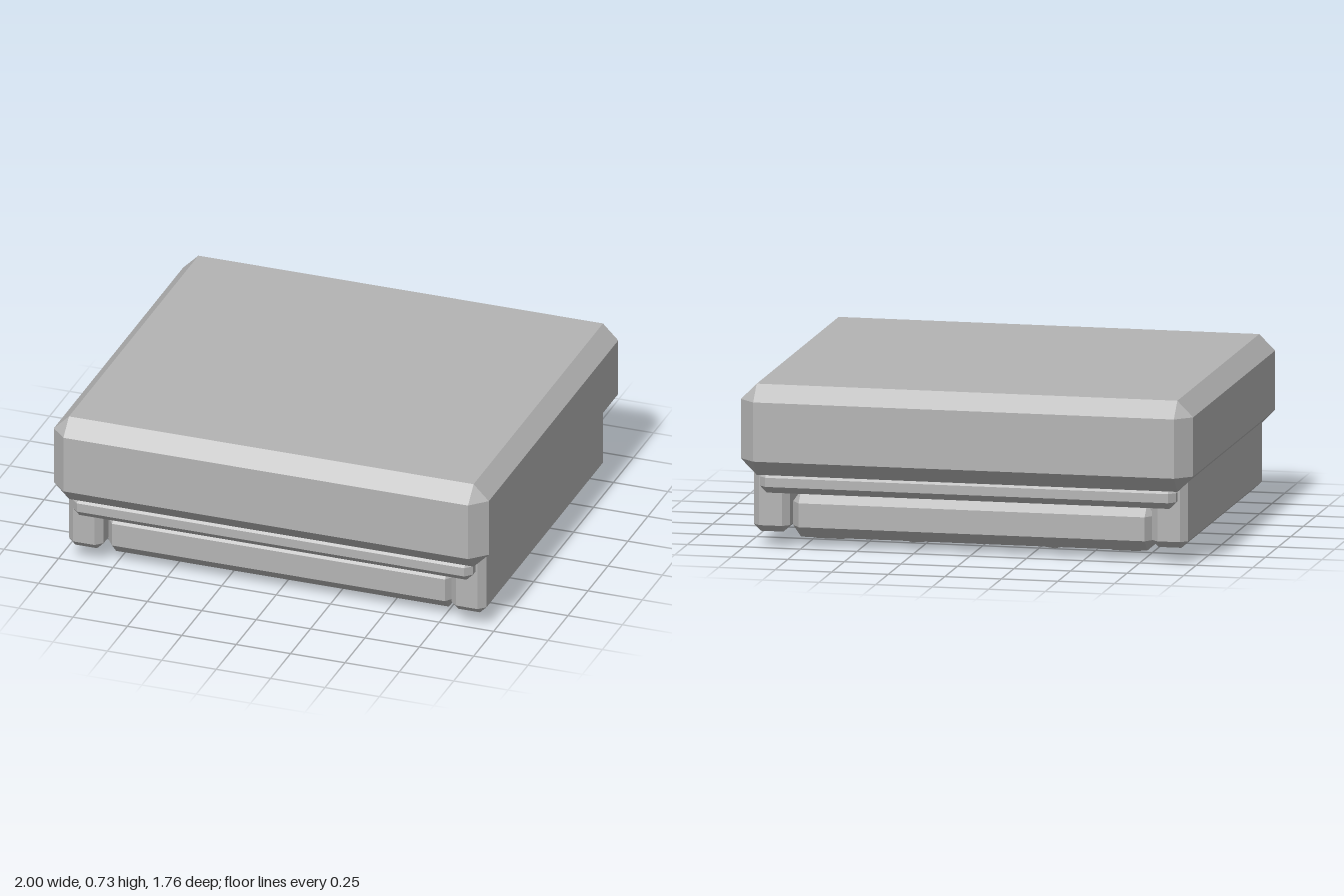
import * as THREE from 'three';
import { ConvexGeometry } from 'three/addons/geometries/ConvexGeometry.js';

const grey = new THREE.MeshStandardMaterial({ color: 0xb4b4b4 });
grey.name = 'plain grey';

// Box with every edge bevelled; c gives the bevel along x, y and z.
function bevelBox(w, h, d, c) {
  const [cx, cy, cz] = Array.isArray(c) ? c : [c, c, c];
  const X = w / 2, Y = h / 2, Z = d / 2, points = [];
  for (const i of [-1, 1]) for (const j of [-1, 1]) for (const k of [-1, 1]) {
    points.push(
      new THREE.Vector3(i * X, j * (Y - cy), k * (Z - cz)),
      new THREE.Vector3(i * (X - cx), j * Y, k * (Z - cz)),
      new THREE.Vector3(i * (X - cx), j * (Y - cy), k * Z));
  }
  return new ConvexGeometry(points);
}

export function createModel() {
  const model = new THREE.Group();
  model.name = 'floorTile';

  // Adds a bevelled box spanning y0 to y1
  const add = (name, w, d, y0, y1, c, x = 0, z = 0, turn = 0) => {
    const mesh = new THREE.Mesh(bevelBox(w, y1 - y0, d, c), grey);
    mesh.name = name;
    mesh.position.set(x, (y0 + y1) / 2, z);
    mesh.rotation.y = turn;
    model.add(mesh);
  };

  // Stacked body
  add('topSlab', 2, 1.76, 0.33, 0.73, 0.07);
  add('middlePlate', 1.84, 1.64, 0.25, 0.35, 0.03);
  add('lowerBlock', 1.6, 1.44, 0.04, 0.245, [0.035, 0.05, 0.05]);

  for (const s of [-1, 1]) {
    // Side rails and the thin strips under the block
    add('sideRail', 0.16, 1.52, 0.07, 0.42, 0.03, s * 0.88);
    add('bottomStrip', 0.16, 1.2, 0.02, 0.06, 0.019, s * 0.655);
    // Two arms of each chevron, pointing to the front
    for (const z of [-0.36, 0, 0.36]) {
      add('chevronArm', 0.42, 0.1, 0, 0.055, 0.012, s * 0.165, z, s * Math.PI / 6);
    }
  }
  return model;
}
